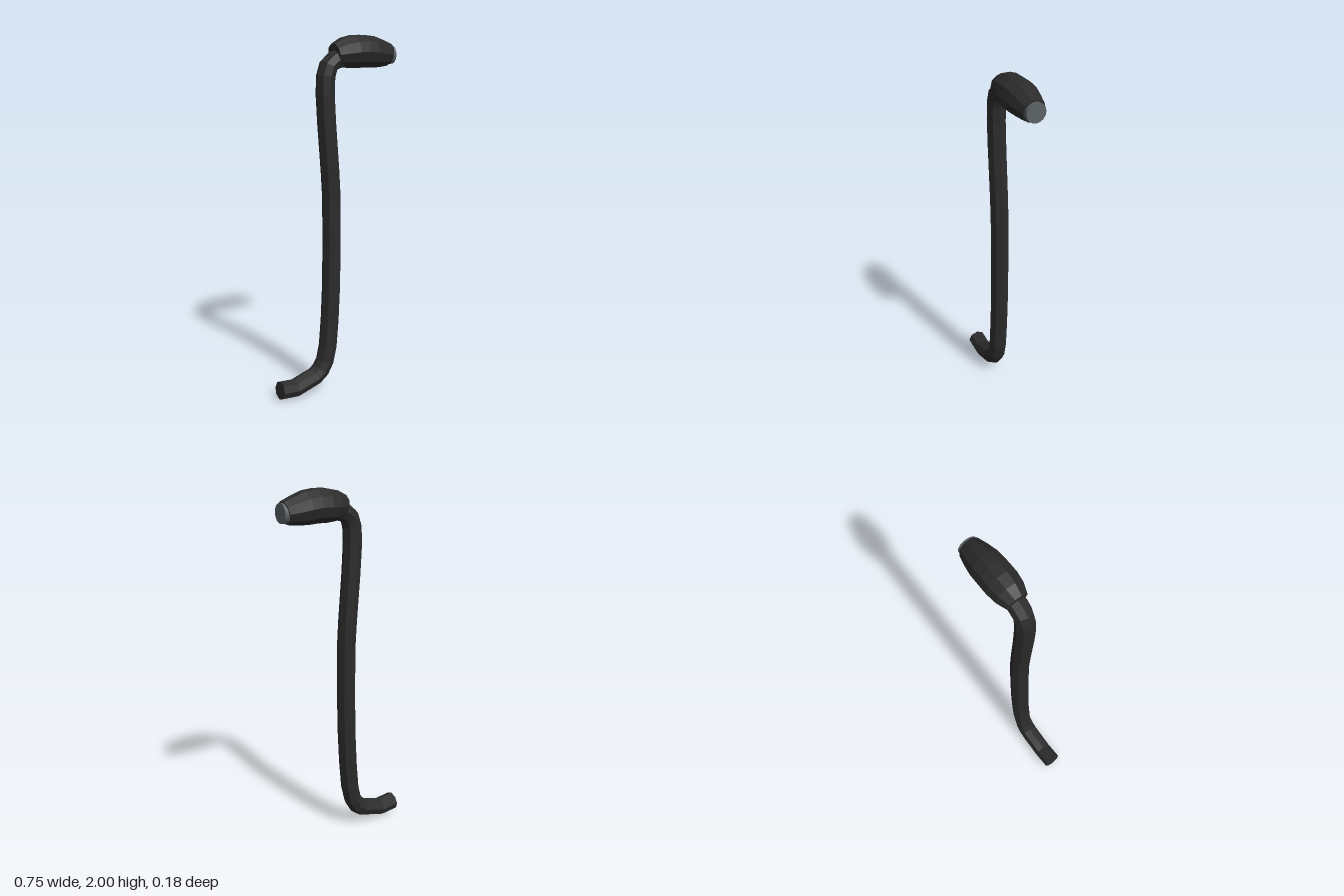
import * as THREE from 'three';

// Closed faceted sweep in the XY plane; each section is [x, y, radius, tilt of its axis]
function sweep(sections, sides) {
  const rings = sections.map(([x, y, r, tilt]) =>
    Array.from({ length: sides }, (_, i) => {
      const a = (i / sides) * Math.PI * 2;
      const up = Math.sin(a) * r;
      return [x - Math.sin(tilt) * up, y + Math.cos(tilt) * up, Math.cos(a) * r];
    }));
  const pos = [];
  const tri = (a, b, c) => pos.push(...a, ...b, ...c);
  for (let k = 0; k < rings.length - 1; k++) {
    for (let i = 0; i < sides; i++) {
      const j = (i + 1) % sides;
      const a = rings[k][i], b = rings[k + 1][i], c = rings[k + 1][j], d = rings[k][j];
      tri(a, b, c);
      tri(a, c, d);
    }
  }
  // End faces
  const first = rings[0], last = rings[rings.length - 1];
  for (let i = 1; i < sides - 1; i++) {
    tri(first[0], first[i], first[i + 1]);
    tri(last[0], last[i + 1], last[i]);
  }
  const g = new THREE.BufferGeometry();
  g.setAttribute('position', new THREE.Float32BufferAttribute(pos, 3));
  g.computeVertexNormals();
  return g;
}

export function createModel() {
  const black = new THREE.MeshStandardMaterial({ name: 'black', color: 0x2b2b2b });
  const steel = new THREE.MeshStandardMaterial({ name: 'steel grey', color: 0x5c6266 });
  const group = new THREE.Group();
  const add = (name, geometry, material) => {
    const mesh = new THREE.Mesh(geometry, material);
    mesh.name = name;
    group.add(mesh);
    return mesh;
  };

  // Bent shaft, from the foot up to the handle
  const path = [
    [-0.37, 0.067], [-0.27, 0.057], [-0.2, 0.078], [-0.14, 0.095], [-0.1, 0.125],
    [-0.07, 0.175], [-0.05, 0.26], [-0.036, 0.42], [-0.027, 0.6], [-0.022, 0.85],
    [-0.023, 1.13], [-0.032, 1.28], [-0.053, 1.54], [-0.062, 1.7], [-0.058, 1.79],
    [-0.041, 1.842], [-0.01, 1.868], [0.04, 1.885],
  ];
  const shaft = path.map(([x, y], i) => {
    const p = path[Math.max(i - 1, 0)], n = path[Math.min(i + 1, path.length - 1)];
    return [x, y, 0.052, Math.atan2(n[1] - p[1], n[0] - p[0])];
  });
  add('shaft', sweep(shaft, 8), black);

  // Swollen grip with a slight downward arch
  add('handle', sweep([
    [-0.002, 1.9, 0.06, 0.16], [0.055, 1.908, 0.082, 0.12], [0.112, 1.913, 0.09, 0.05],
    [0.17, 1.915, 0.09, -0.02], [0.23, 1.91, 0.088, -0.1], [0.29, 1.9, 0.077, -0.18],
    [0.35, 1.892, 0.062, -0.22],
  ], 10), black);

  // Round end cap
  const cap = add('endCap', new THREE.CylinderGeometry(0.052, 0.052, 0.04, 16), steel);
  cap.rotation.z = -Math.PI / 2;
  cap.position.set(0.354, 1.893, 0);

  return group;
}
